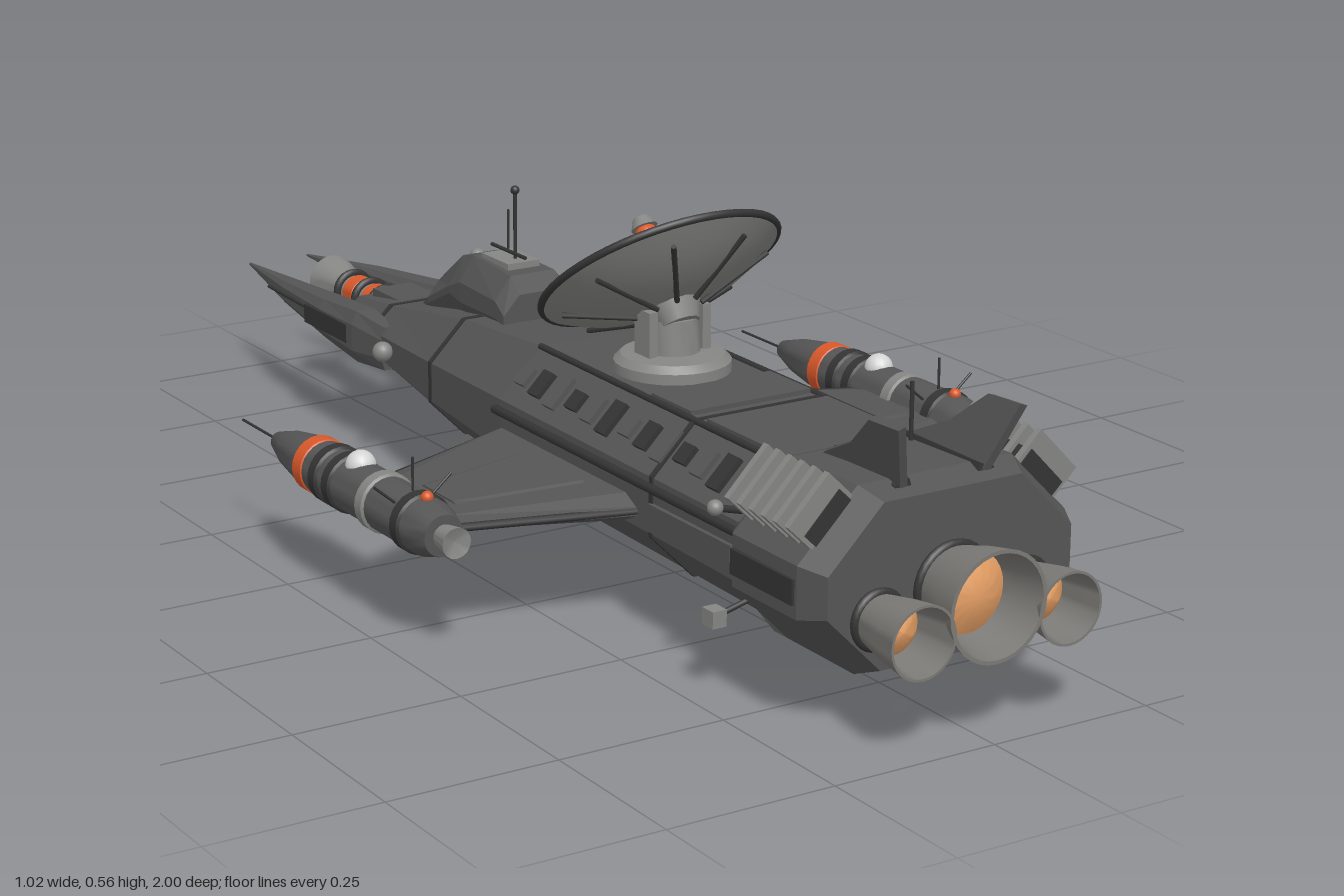
import * as THREE from 'three';
import { toCreasedNormals } from 'three/addons/utils/BufferGeometryUtils.js';

const mat = (name, color, side = THREE.FrontSide) => {
  const m = new THREE.MeshStandardMaterial({ color, side });
  m.name = name;
  return m;
};

// Eight-sided cross-section at depth z; cx, cy are the corner cuts
const oct = (z, x, hw, yb, yt, cx, cy) => [
  [x - hw + cx, yb], [x + hw - cx, yb], [x + hw, yb + cy], [x + hw, yt - cy],
  [x + hw - cx, yt], [x - hw + cx, yt], [x - hw, yt - cy], [x - hw, yb + cy],
].map(([px, py]) => [px, py, z]);

// Faceted solid through sections ordered from low z to high z
function loft(sections) {
  const v = [];
  const n = sections[0].length;
  const tri = (a, b, c) => v.push(...a, ...b, ...c);
  for (let k = 0; k + 1 < sections.length; k++) {
    const a = sections[k], b = sections[k + 1];
    for (let i = 0; i < n; i++) {
      const j = (i + 1) % n;
      tri(a[i], a[j], b[j]);
      tri(a[i], b[j], b[i]);
    }
  }
  const lo = sections[0], hi = sections[sections.length - 1];
  for (let i = 1; i + 1 < n; i++) {
    tri(lo[0], lo[i + 1], lo[i]);
    tri(hi[0], hi[i], hi[i + 1]);
  }
  const g = new THREE.BufferGeometry();
  g.setAttribute('position', new THREE.Float32BufferAttribute(v, 3));
  g.computeVertexNormals();
  return g;
}

// Turned shape from [radius, height] points, about y
const turned = (pts, seg = 24) => toCreasedNormals(
  new THREE.LatheGeometry(pts.map(([r, h]) => new THREE.Vector2(r, h)), seg), 0.6);
const turnedZ = (pts, seg) => turned(pts, seg).rotateX(Math.PI / 2);

// Flat plate from a [z, y] outline, centred on x = 0
function sidePlate(pts, t) {
  const g = new THREE.ExtrudeGeometry(
    new THREE.Shape(pts.map(p => new THREE.Vector2(...p))), { depth: t, bevelEnabled: false });
  return g.translate(0, 0, -t / 2).rotateY(-Math.PI / 2);
}

export function createModel() {
  const model = new THREE.Group();
  model.name = 'spaceship';
  const hull = mat('hull grey', 0x555555);
  const dark = mat('dark trim', 0x343434);
  const grey = mat('mid grey metal', 0x858583);
  const nozzleGrey = mat('nozzle metal', 0x7c7a76, THREE.DoubleSide);
  const light = mat('pale dish', 0xd4d4d4);
  const orange = mat('orange marking', 0xd9582a);
  const glow = mat('engine glow', 0xeba367);

  const add = (name, geo, m, x = 0, y = 0, z = 0, parent = model) => {
    const mesh = new THREE.Mesh(geo, m);
    mesh.name = name;
    mesh.position.set(x, y, z);
    parent.add(mesh);
    return mesh;
  };
  const group = (name, x, y, z) => {
    const g = new THREE.Group();
    g.name = name;
    g.position.set(x, y, z);
    model.add(g);
    return g;
  };
  const box = (name, w, h, d, m, x, y, z, parent) =>
    add(name, new THREE.BoxGeometry(w, h, d), m, x, y, z, parent);
  const ball = (name, r, m, x, y, z, parent) =>
    add(name, new THREE.SphereGeometry(r, 16, 12), m, x, y, z, parent);
  const rod = (name, a, b, r, m, parent) => {
    const p = new THREE.Vector3(...a), q = new THREE.Vector3(...b), d = q.clone().sub(p);
    const mesh = add(name, new THREE.CylinderGeometry(r, r, d.length(), 8), m, 0, 0, 0, parent);
    mesh.position.copy(p).add(q).multiplyScalar(0.5);
    mesh.quaternion.setFromUnitVectors(new THREE.Vector3(0, 1, 0), d.normalize());
  };

  // Main hull, with trim rings at the joints
  add('mainHull', loft([
    oct(-0.62, 0, 0.068, 0.152, 0.215, 0.02, 0.02), oct(-0.47, 0, 0.107, 0.135, 0.238, 0.04, 0.035),
    oct(-0.2, 0, 0.15, 0.105, 0.285, 0.06, 0.06), oct(0.05, 0, 0.174, 0.09, 0.308, 0.07, 0.07),
    oct(0.7, 0, 0.176, 0.08, 0.305, 0.07, 0.07)]), hull);
  for (const [z, hw, yb, yt, c] of [[-0.47, 0.109, 0.133, 0.24, 0.038], [-0.2, 0.152, 0.103, 0.287, 0.06],
    [0.46, 0.178, 0.081, 0.308, 0.07]])
    add('hullJoint', loft([oct(z - 0.004, 0, hw, yb, yt, c, c), oct(z + 0.004, 0, hw, yb, yt, c, c)]), dark);
  box('rearDeckPanel', 0.2, 0.008, 0.19, hull, 0, 0.309, 0.575);
  box('midDeckPanel', 0.2, 0.008, 0.1, hull, 0, 0.309, 0.39);
  box('noseDeckPanel', 0.07, 0.02, 0.11, hull, 0, 0.222, -0.54);

  // Engine block
  add('engineBlock', loft([
    oct(0.68, 0, 0.19, 0.085, 0.315, 0.085, 0.085), oct(0.71, 0, 0.212, 0.075, 0.328, 0.09, 0.09),
    oct(0.86, 0, 0.215, 0.075, 0.332, 0.092, 0.092), oct(0.9, 0, 0.195, 0.09, 0.318, 0.085, 0.085)]), hull);
  for (const [x, y, r] of [[0, 0.187, 0.077], [0.117, 0.162, 0.051], [-0.117, 0.162, 0.051]]) {
    add('nozzle', turnedZ([[r * 0.66, 0.895], [r * 0.72, 0.91], [r * 0.9, 0.96], [r, 1], [r * 0.93, 1],
      [r * 0.8, 0.95], [r * 0.66, 0.905]], 32), nozzleGrey, x, y);
    add('nozzleCollar', new THREE.TorusGeometry(r * 0.72, 0.007, 8, 28), dark, x, y, 0.903);
    add('engineGlow', turnedZ([[r * 0.74, 0.935], [r * 0.4, 0.95], [0.0001, 0.958]], 28), glow, x, y);
  }

  // Cockpit hump and its mast
  add('cockpit', loft([
    oct(-0.44, 0, 0.028, 0.23, 0.252, 0.012, 0.008), oct(-0.4, 0, 0.042, 0.23, 0.29, 0.02, 0.025),
    oct(-0.31, 0, 0.054, 0.25, 0.352, 0.025, 0.045), oct(-0.27, 0, 0.058, 0.25, 0.362, 0.025, 0.04),
    oct(-0.15, 0, 0.066, 0.26, 0.357, 0.028, 0.035), oct(-0.12, 0, 0.068, 0.26, 0.335, 0.028, 0.03)]), hull);
  box('cockpitHatch', 0.055, 0.012, 0.08, grey, 0, 0.362, -0.215);
  rod('mast', [0, 0.36, -0.2], [0, 0.475, -0.2], 0.003, dark);
  ball('mastTip', 0.007, dark, 0, 0.475, -0.2);
  rod('shortMast', [0.02, 0.355, -0.255], [0.02, 0.43, -0.255], 0.002, dark);
  rod('mastBar', [0, 0.375, -0.17], [0, 0.375, -0.27], 0.003, dark);
  ball('cockpitLamp', 0.013, grey, 0, 0.345, -0.315);

  // Nose emitter between the prongs
  add('emitterBarrel', turnedZ([[0.0001, -0.815], [0.034, -0.812], [0.042, -0.805], [0.036, -0.775],
    [0.026, -0.75], [0.026, -0.61]]), grey, 0, 0.192);
  ball('emitterTip', 0.033, orange, 0, 0.192, -0.8);
  for (const z of [-0.7, -0.64])
    add('emitterBand', turnedZ([[0.0265, z - 0.016], [0.029, z - 0.014], [0.029, z + 0.014], [0.0265, z + 0.016]]),
      orange, 0, 0.192);
  for (const z of [-0.73, -0.67, -0.62])
    add('emitterRing', new THREE.TorusGeometry(0.029, 0.007, 8, 24), dark, 0, 0.192, z);

  // Dish antenna on its pedestal
  add('dishPedestal', turned([[0.085, 0.3], [0.085, 0.322], [0.075, 0.332], [0.04, 0.335], [0.036, 0.385],
    [0.0001, 0.39]]), grey, 0, 0, 0.24);
  for (const s of [-1, 1]) box('dishFork', 0.014, 0.07, 0.04, grey, s * 0.045, 0.365, 0.24);
  const dish = group('dish', 0, 0.445, 0.205);
  dish.rotation.x = -0.666;
  const R = 0.178;
  const bowl = r => -0.058 + 0.058 * (r / R) ** 2;
  const steps = [0.0001, 0.03, 0.06, 0.09, 0.12, 0.15, R];
  add('dishBack', turned(steps.map(r => [r, bowl(r) - 0.004]), 40), grey, 0, 0, 0, dish);
  add('dishInside', turned(steps.map(r => [r, bowl(r)]).reverse(), 40), light, 0, 0, 0, dish);
  add('dishRim', new THREE.TorusGeometry(R, 0.006, 8, 48).rotateX(Math.PI / 2), dark, 0, 0, 0, dish);
  add('dishHub', new THREE.CylinderGeometry(0.042, 0.03, 0.035, 12), grey, 0, -0.07, 0, dish);
  for (const r of [0.075, 0.128])
    add('dishLine', new THREE.TorusGeometry(r, 0.002, 6, 40).rotateX(Math.PI / 2), dark, 0, bowl(r) + 0.001, 0, dish);
  for (let i = 0; i < 8; i++) {
    const a = (i + 0.5) * Math.PI / 4, c = Math.cos(a), s = Math.sin(a);
    rod('dishRib', [0.04 * c, bowl(0.04) - 0.01, 0.04 * s], [0.155 * c, bowl(0.155) - 0.009, 0.155 * s], 0.004, dark, dish);
  }
  for (let i = 0; i < 3; i++) {
    const a = -Math.PI / 2 + i * Math.PI * 2 / 3;
    rod('feedStrut', [R * Math.cos(a), 0, R * Math.sin(a)], [0, 0.058, 0], 0.003, dark, dish);
  }
  ball('feedHorn', 0.017, orange, 0, 0.055, 0, dish);
  add('feedCap', new THREE.CylinderGeometry(0.012, 0.02, 0.016, 12), grey, 0, 0.074, 0, dish);

  // Belly fin and lamps
  add('bellyFin', sidePlate([[0.71, 0], [0.52, 0], [0.29, 0.095], [0.69, 0.095]], 0.022), hull);
  box('bellyFinRoot', 0.032, 0.025, 0.36, dark, 0, 0.078, 0.5);
  for (const z of [-0.1, -0.32]) ball('bellyLamp', 0.022, grey, 0, z < -0.2 ? 0.11 : 0.093, z);
  rod('sternMast', [0.05, 0.32, 0.74], [0.05, 0.41, 0.74], 0.003, dark);

  const podRings = [0.06, 0.1, 0.2, 0.3];
  for (const s of [-1, 1]) {
    // Nose prong and its needle
    add('noseProng', loft([
      oct(-1, s * 0.055, 0.002, 0.18, 0.184, 0.001, 0.001), oct(-0.8, s * 0.079, 0.018, 0.167, 0.203, 0.006, 0.008),
      oct(-0.62, s * 0.092, 0.028, 0.154, 0.218, 0.01, 0.015), oct(-0.5, s * 0.1, 0.026, 0.145, 0.228, 0.01, 0.02),
      oct(-0.42, s * 0.1, 0.016, 0.15, 0.22, 0.006, 0.02)]), hull);
    rod('prongNeedle', [s * 0.105, 0.19, -0.83], [s * 0.118, 0.19, -0.5], 0.003, dark);
    box('prongPlate', 0.008, 0.03, 0.17, dark, s * 0.121, 0.187, -0.58);
    ball('sideLamp', 0.016, grey, s * 0.135, 0.195, -0.38);

    // Pipes, rails and small boxes along the hull
    rod('sidePipe', [s * 0.178, 0.222, 0.04], [s * 0.18, 0.222, 0.69], 0.007, dark);
    rod('deckRail', [s * 0.105, 0.308, 0.05], [s * 0.107, 0.305, 0.69], 0.005, dark);
    box('sidePanel', 0.012, 0.04, 0.2, hull, s * 0.176, 0.18, 0.56);
    for (let i = 0; i < 13; i++) {
      const z = 0.07 + i * 0.047;
      const b = box('hullBlock', 0.03 + (i % 3) * 0.012, 0.012, 0.028, i % 2 ? dark : hull, s * 0.142, 0.272, z);
      b.rotation.z = -s * Math.PI / 4;
    }

    // Radiator slats on the engine block shoulders
    const rad = group('radiator', s * 0.178, 0.304, 0.79);
    rad.rotation.z = -s * 0.8;
    box('radiatorCore', 0.075, 0.03, 0.15, dark, 0, -0.012, 0, rad);
    for (let i = 0; i < 6; i++) box('radiatorSlat', 0.088, 0.062, 0.01, grey, 0, 0, (i - 2.5) * 0.027, rad);

    // Stern fin, thruster box and lamp
    const fin = group('sternFin', s * 0.065, 0.322, 0);
    fin.rotation.z = -s * 0.32;
    add('sternFinPlate', sidePlate([[0.88, 0], [0.915, 0.1], [0.85, 0.097], [0.79, 0.045], [0.7, 0]], 0.012), hull, 0, 0, 0, fin);
    box('sternFinRoot', 0.024, 0.02, 0.16, dark, 0, 0, 0.8, fin);
    box('thrusterBox', 0.022, 0.024, 0.026, grey, s * 0.212, 0.11, 0.67);
    rod('thrusterArm', [s * 0.15, 0.125, 0.67], [s * 0.21, 0.11, 0.67], 0.004, dark);
    ball('sternLamp', 0.011, grey, s * 0.226, 0.27, 0.69);
    rod('sternLampArm', [s * 0.17, 0.255, 0.69], [s * 0.226, 0.27, 0.69], 0.005, dark);
    box('blockSideRail', 0.01, 0.035, 0.14, dark, s * 0.214, 0.203, 0.785);

    // Wing with a raised panel
    const wing = (x0, zA, zB, h0, x1, zC, zD, h1) => loft([[x0, zA, zB, h0, 0.176], [x1, zC, zD, h1, 0.174]]
      .map(([x, a, b, h, y]) => oct(x, -s * (a + b) / 2, (b - a) / 2, y - h, y + h, 0.03, h * 0.7)))
      .rotateY(s * Math.PI / 2);
    add('wing', wing(0.15, 0.015, 0.43, 0.021, 0.42, 0.12, 0.345, 0.009), hull);
    add('wingPanel', wing(0.2, 0.14, 0.35, 0.021, 0.385, 0.17, 0.31, 0.0135), hull);
    rod('wingLeadingEdge', [s * 0.17, 0.176, 0.024], [s * 0.41, 0.174, 0.118], 0.006, dark);
    rod('wingTrailingEdge', [s * 0.17, 0.176, 0.42], [s * 0.41, 0.174, 0.347], 0.006, dark);

    // Wingtip pod
    const pod = group('wingPod', s * 0.447, 0.174, 0);
    add('podBody', turnedZ([[0.0001, -0.135], [0.014, -0.122], [0.028, -0.075], [0.037, -0.02], [0.04, 0.02],
      [0.04, 0.33], [0.03, 0.365], [0.0001, 0.366]]), hull, 0, 0, 0, pod);
    add('podBand', turnedZ([[0.039, -0.002], [0.042, 0], [0.042, 0.024], [0.039, 0.026]]), orange, 0, 0, 0, pod);
    for (const z of podRings)
      add('podRing', turnedZ([[0.039, z - 0.012], [0.044, z - 0.009], [0.044, z + 0.009], [0.039, z + 0.012]]),
        z === 0.2 ? grey : dark, 0, 0, 0, pod);
    add('podNozzle', turnedZ([[0.016, 0.36], [0.022, 0.4], [0.0001, 0.392]], 16), grey, 0, 0, 0, pod);
    rod('podNeedle', [0, 0, -0.24], [0, 0, -0.12], 0.002, dark, pod);
    ball('podDome', 0.022, light, 0, 0.034, 0.13, pod);
    ball('podLamp', 0.009, orange, 0, 0.042, 0.32, pod);
    rod('podAerial', [0, 0.035, 0.28], [0, 0.088, 0.28], 0.002, dark, pod);
    for (const t of [-1, 1]) rod('podSideAerial', [t * 0.025, 0.025, 0.28], [t * 0.06, 0.055, 0.28], 0.002, dark, pod);
  }
  return model;
}
